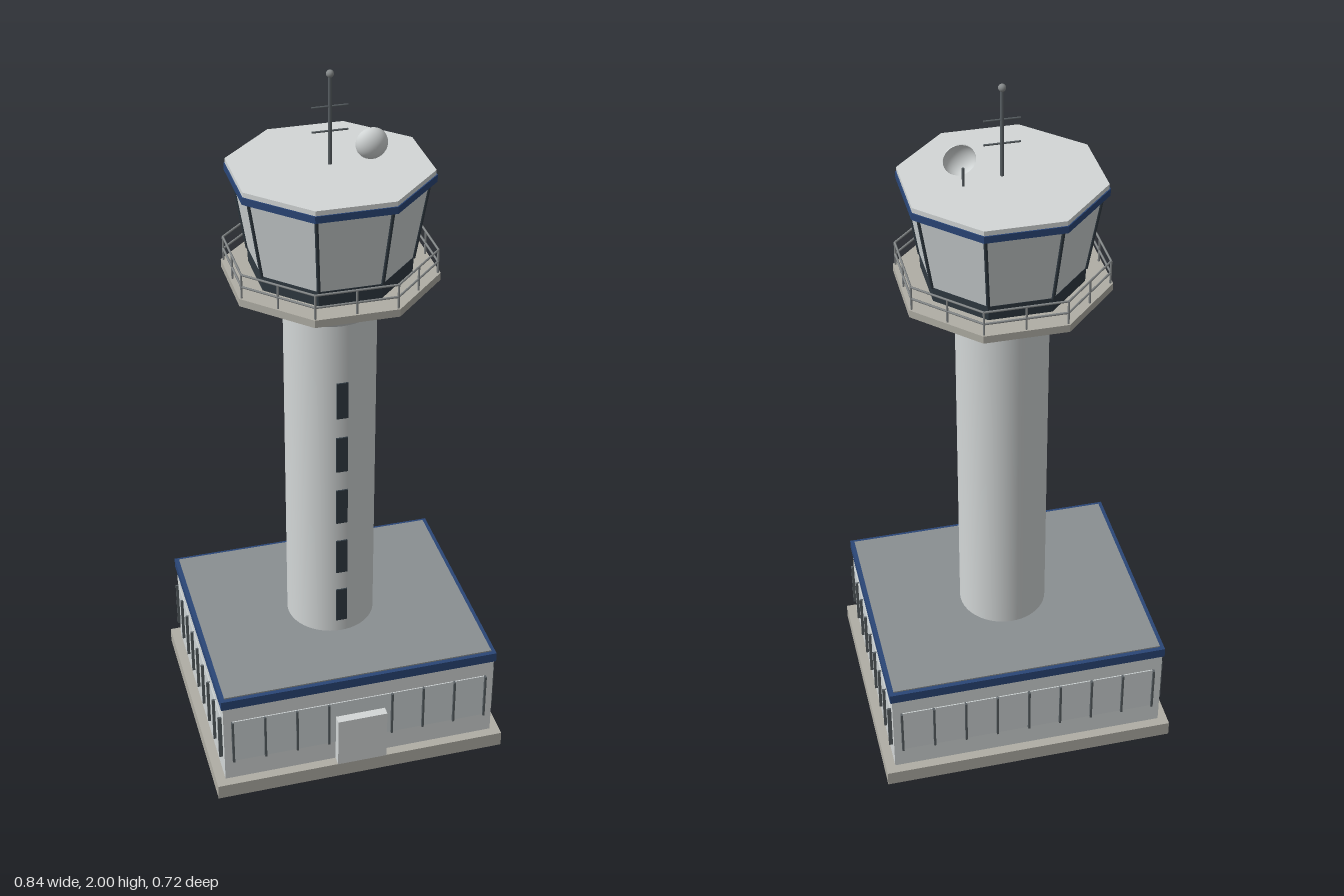
import * as THREE from 'three';

const mat = (name, color) => {
  const m = new THREE.MeshStandardMaterial({ color });
  m.name = name;
  return m;
};

export function createModel() {
  const root = new THREE.Group();
  root.name = 'controlTower';

  const wall = mat('wall', 0xd3d7d7);
  const glass = mat('paleGlass', 0xcdd3d4);
  const concrete = mat('concrete', 0xb0aea5);
  const roofGrey = mat('roofGrey', 0x8a8f92);
  const blue = mat('blueTrim', 0x2a4677);
  const dark = mat('darkGlass', 0x303a42);
  const frame = mat('frame', 0x596064);
  const metal = mat('metal', 0x85898a);
  const dishMat = mat('dish', 0xd0d4d4);
  dishMat.side = THREE.DoubleSide;

  const add = (name, geo, material, x = 0, y = 0, z = 0, parent = root) => {
    const m = new THREE.Mesh(geo, material);
    m.name = name;
    m.position.set(x, y, z);
    parent.add(m);
    return m;
  };
  const group = (name) => {
    const g = new THREE.Group();
    g.name = name;
    root.add(g);
    return g;
  };
  // Box spanning y0..y1
  const block = (name, w, y0, y1, d, material, x = 0, z = 0, parent = root) =>
    add(name, new THREE.BoxGeometry(w, y1 - y0, d), material, x, (y0 + y1) / 2, z, parent);
  // Octagonal prism with flats on the axes, sized by apothem
  const K = 1 / Math.cos(Math.PI / 8);
  const octagon = (name, aTop, aBottom, y0, y1, material) => {
    const g = new THREE.CylinderGeometry(aTop * K, aBottom * K, y1 - y0, 8, 1, false, Math.PI / 8).toNonIndexed();
    g.computeVertexNormals();
    return add(name, g, material, 0, (y0 + y1) / 2, 0);
  };
  const corner = (i, apothem, y) => {
    const a = Math.PI / 8 + (i * Math.PI) / 4;
    return new THREE.Vector3(Math.sin(a) * apothem * K, y, Math.cos(a) * apothem * K);
  };
  // Thin rod between two points
  const rod = (name, a, b, r, material, parent = root, sides = 6) => {
    const d = b.clone().sub(a);
    const m = add(name, new THREE.CylinderGeometry(r, r, d.length(), sides), material, 0, 0, 0, parent);
    m.position.copy(a).add(b).multiplyScalar(0.5);
    m.quaternion.setFromUnitVectors(new THREE.Vector3(0, 1, 0), d.normalize());
    return m;
  };
  const V = (x, y, z) => new THREE.Vector3(x, y, z);

  // Base building
  block('plinth', 0.844, 0, 0.045, 0.714, concrete);
  block('baseBuilding', 0.79, 0.045, 0.306, 0.66, wall);
  block('baseTrim', 0.8, 0.306, 0.335, 0.67, blue);
  block('baseRoof', 0.776, 0.33, 0.339, 0.646, roofGrey);
  block('entrance', 0.144, 0.045, 0.205, 0.04, wall, 0, 0.338);

  // Ribbon windows and mullions on the four walls
  const windows = group('baseWindows');
  for (const s of [-1, 1]) {
    block('windowStripLong', 0.74, 0.11, 0.255, 0.006, glass, 0, s * 0.33, windows);
    block('windowStripShort', 0.006, 0.11, 0.255, 0.61, glass, s * 0.395, 0, windows);
    for (let i = -4; i <= 4; i++) {
      const behindDoor = s === 1 && i === 0;
      if (!behindDoor) block('mullion', 0.006, 0.11, 0.255, 0.012, frame, i * 0.0925, s * 0.334, windows);
      block('mullion', 0.012, 0.11, 0.255, 0.006, frame, s * 0.4, i * 0.0762, windows);
    }
  }

  // Shaft with slit windows, and flared collar
  add('shaft', new THREE.CylinderGeometry(0.125, 0.125, 1.02, 48, 1, true), wall, 0, 0.845, 0);
  add('collar', new THREE.CylinderGeometry(0.24, 0.125, 0.09, 48), wall, 0, 1.395, 0);
  for (let i = 0; i < 5; i++) {
    const y = 0.435 + i * 0.172;
    block('shaftWindow', 0.032, y - 0.055, y + 0.055, 0.009, dark, 0, 0.1245);
  }

  // Gallery deck and cab
  octagon('galleryDeck', 0.266, 0.266, 1.44, 1.461, concrete);
  octagon('cabBase', 0.201, 0.199, 1.461, 1.502, dark);
  octagon('cabGlass', 0.234, 0.2, 1.502, 1.72, glass);
  octagon('cabTrim', 0.251, 0.251, 1.718, 1.737, blue);
  octagon('cabRoof', 0.248, 0.248, 1.737, 1.75, wall);
  const cabFrames = group('cabFrames');
  for (let i = 0; i < 8; i++)
    rod('cabPost', corner(i, 0.2, 1.5), corner(i, 0.234, 1.72), 0.005, dark, cabFrames);

  // Gallery railing
  const railing = group('railing');
  for (let i = 0; i < 8; i++) {
    for (const y of [1.493, 1.527])
      rod('rail', corner(i, 0.259, y), corner(i + 1, 0.259, y), 0.003, metal, railing);
    const low = corner(i, 0.259, 1.46);
    const next = corner(i + 1, 0.259, 1.46);
    for (const t of [0, 0.5]) {
      const p = low.clone().lerp(next, t);
      rod('railPost', p, V(p.x, 1.527, p.z), 0.003, metal, railing);
    }
  }

  // Antenna mast
  const mast = group('antenna');
  rod('mast', V(0, 1.75, 0), V(0, 1.99, 0), 0.005, frame, mast, 12);
  add('mastTip', new THREE.SphereGeometry(0.01, 16, 10), metal, 0, 1.99, 0, mast);
  for (const y of [1.84, 1.905]) rod('crossbar', V(-0.047, y, 0), V(0.047, y, 0), 0.0025, frame, mast);

  // Dish bulging to the front, with its post behind
  const dish = add('dish', new THREE.SphereGeometry(0.042, 32, 10, 0, Math.PI * 2, 0, Math.PI / 2), dishMat, 0.105, 1.8, 0.011);
  dish.rotation.x = Math.PI / 2;
  dish.scale.y = 0.74;
  rod('dishPost', V(0.105, 1.75, -0.028), V(0.105, 1.8, -0.028), 0.0035, frame);

  return root;
}
